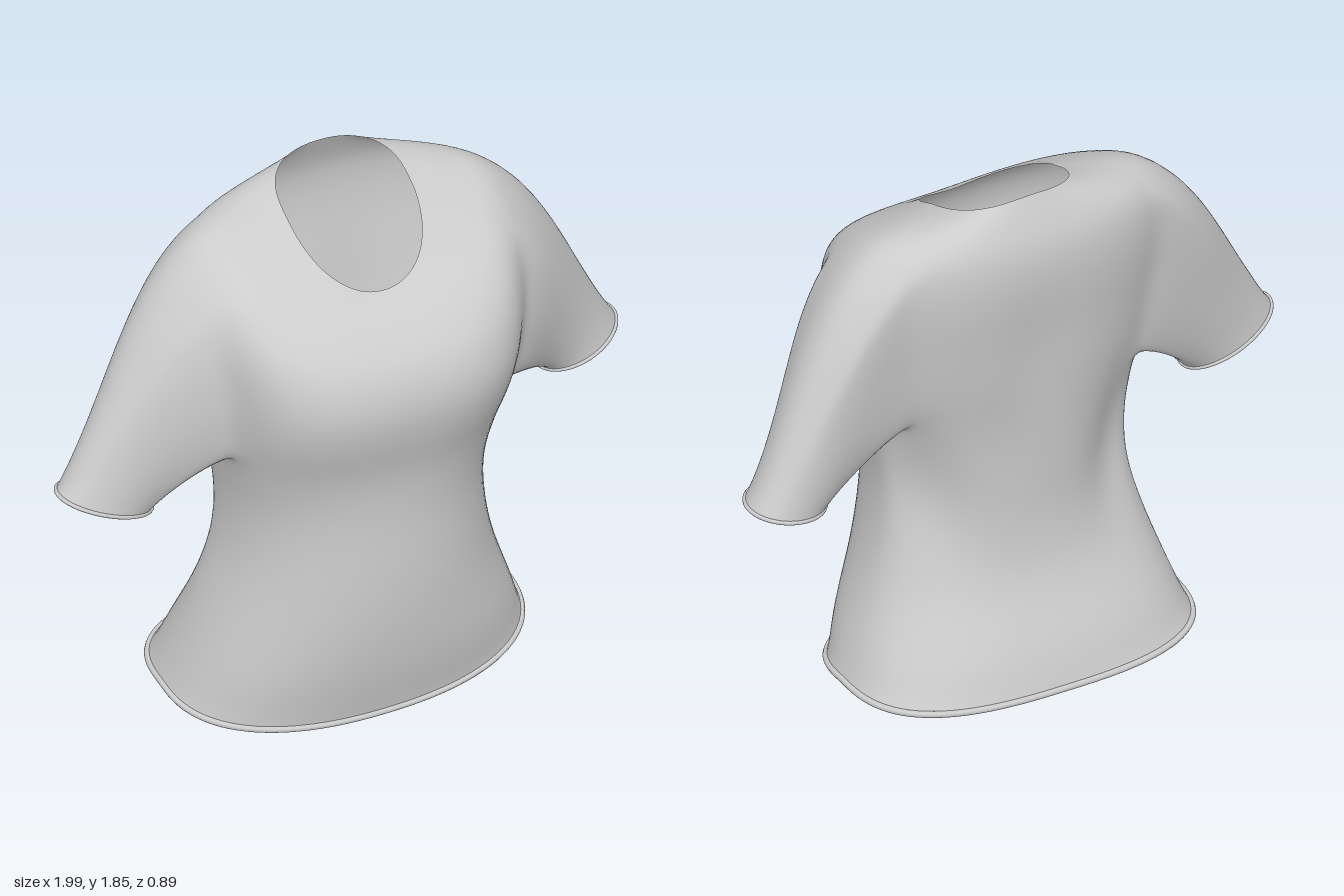
import * as THREE from 'three';

const U = 96;         // columns around the body
const STEP = 6;       // rows between two body sections
const SLEEVE_ROWS = 30;

// Body sections from hem to neckline: [right x, left x, front z, side seam z, back z,
// front y, side y, back y, front squareness, back squareness]
const SECTIONS = [
  [-0.605, 0.59, 0.30, -0.07, -0.43, 0.012, 0.07, 0.06, 2.4, 2.8],
  [-0.555, 0.55, 0.345, -0.05, -0.385, 0.2, 0.2, 0.2, 2.3, 2.6],
  [-0.49, 0.485, 0.37, -0.04, -0.29, 0.4, 0.4, 0.4, 2.2, 2.3],
  [-0.44, 0.445, 0.375, -0.04, -0.262, 0.6, 0.6, 0.6, 2.2, 2.1],
  [-0.435, 0.44, 0.37, -0.04, -0.27, 0.8, 0.8, 0.8, 2.2, 2.1],
  [-0.465, 0.48, 0.385, -0.04, -0.285, 0.98, 0.99, 1.0, 2.4, 2.1],
  [-0.48, 0.51, 0.43, -0.05, -0.30, 1.14, 1.14, 1.16, 2.8, 2.3],
  [-0.49, 0.53, 0.45, -0.06, -0.315, 1.28, 1.32, 1.33, 3.0, 2.5],
  [-0.51, 0.545, 0.415, -0.08, -0.338, 1.41, 1.54, 1.52, 2.8, 2.5],
  [-0.49, 0.525, 0.335, -0.10, -0.335, 1.5, 1.715, 1.67, 2.4, 2.4],
  [-0.37, 0.41, 0.27, -0.10, -0.30, 1.55, 1.755, 1.77, 2.2, 2.4],
  [-0.19, 0.24, 0.215, -0.06, -0.26, 1.585, 1.765, 1.85, 2.3, 2.6],
];
const ROWS = (SECTIONS.length - 1) * STEP;

// Soft creases in the back: [x, y, slant, depth, width, height]
const CREASES = [
  [0.33, 0.75, 0.2, 0.065, 0.08, 0.25],
  [-0.32, 0.75, 0.0, 0.06, 0.08, 0.25],
  [0.12, 0.92, 0.35, 0.02, 0.05, 0.2],
  [0.02, 1.25, 0.0, 0.015, 0.08, 0.3],
];

// Armholes in grid columns and rows, with the cuff each sleeve runs to
const SLEEVES = [
  { name: 'leftCuff', side: 1, c0: -11, c1: 7, r0: 32, r1: 55, hz: 0.125, drift: -0.05,
    outer: new THREE.Vector3(0.99, 0.942, -0.18), inner: new THREE.Vector3(0.7, 0.868, -0.12) },
  { name: 'rightCuff', side: -1, c0: 41, c1: 57, r0: 31, r1: 55, hz: 0.11, drift: 0.05,
    outer: new THREE.Vector3(-0.99, 0.948, -0.005), inner: new THREE.Vector3(-0.67, 0.815, -0.02) },
];

const wrap = (i) => (i + U) % U;
// Column i counted from the first column of an armhole
const fromEdge = (i, c0) => wrap(i - c0);
const insideArmhole = (i, j) => SLEEVES.some(({ c0, c1, r0, r1 }) =>
  j > r0 && j < r1 && fromEdge(i, c0) > 0 && fromEdge(i, c0) < c1 - c0);
const cutCell = (i, j) => SLEEVES.some(({ c0, c1, r0, r1 }) =>
  j >= r0 && j < r1 && fromEdge(i, c0) < c1 - c0);

const sections = new THREE.CubicInterpolant(SECTIONS.map((_, k) => k), SECTIONS.flat(), 10);

function bodyPoint(i, j) {
  const k = j / STEP;
  const [x0, x1, zf, zs, zb, yf, ys, yb, nf, nb] = sections.evaluate(k);
  const a = (i / U) * Math.PI * 2, c = Math.cos(a), s = Math.sin(a);
  const n = s >= 0 ? nf : nb;
  const r = Math.pow(Math.abs(c) ** n + Math.abs(s) ** n, -1 / n);
  const x = (x0 + x1) / 2 + ((x1 - x0) / 2) * r * c;
  let z = zs + Math.abs((s >= 0 ? zf : zb) - zs) * r * s;
  let y = s >= 0 ? ys + (yf - ys) * s ** 1.25 : ys - (yb - ys) * s;
  y += 0.03 * x * Math.max(0, 1 - k / 2);   // hem hangs slightly askew
  if (s < 0) {
    for (const [cx, cy, slant, depth, w, h] of CREASES) {
      const u = (x - cx - slant * (y - cy)) / w, v = (y - cy) / h;
      z += depth * Math.exp(-u * u - v * v) * Math.min(1, -s * 2);
    }
  }
  return new THREE.Vector3(x, y, z);
}

// Evens out the joins while keeping the open edges in place
function relax(points, faces, fixed, times) {
  const near = points.map(() => new Set());
  for (let f = 0; f < faces.length; f += 3) {
    for (let e = 0; e < 3; e++) {
      const a = faces[f + e], b = faces[f + (e + 1) % 3];
      near[a].add(b);
      near[b].add(a);
    }
  }
  for (let t = 0; t < times; t++) {
    const old = points.map((p) => p.clone());
    points.forEach((p, i) => {
      if (fixed.has(i)) return;
      const mean = new THREE.Vector3();
      near[i].forEach((q) => mean.add(old[q]));
      p.lerp(mean.divideScalar(near[i].size), 0.5);
    });
  }
}

export function createModel() {
  const group = new THREE.Group();
  group.name = 'shirt';
  const material = new THREE.MeshStandardMaterial({ color: 0xcccccc, side: THREE.DoubleSide });
  const points = [], faces = [], fixed = new Set();
  const add = (p) => points.push(p) - 1;

  // Body, with the armholes left open
  const id = [];
  for (let j = 0; j <= ROWS; j++) {
    id.push([]);
    for (let i = 0; i < U; i++) {
      id[j][i] = insideArmhole(i, j) ? -1 : add(bodyPoint(i, j));
      if (j === 0 || j === ROWS) fixed.add(id[j][i]);
    }
  }
  for (let j = 0; j < ROWS; j++) {
    for (let i = 0; i < U; i++) {
      if (cutCell(i, j)) continue;
      const n = wrap(i + 1);
      const a = id[j][i], b = id[j + 1][i], c = id[j + 1][n], d = id[j][n];
      faces.push(a, b, d, b, c, d);
    }
  }

  // Rolled edge along an open border
  const rolledEdge = (name, ids, radius) => {
    const curve = new THREE.CatmullRomCurve3(ids.map((i) => points[i].clone()), true);
    const mesh = new THREE.Mesh(new THREE.TubeGeometry(curve, 160, radius, 8, true), material);
    mesh.name = name;
    group.add(mesh);
  };

  // Sleeves, grown from the armhole border to the cuff
  for (const { name, side, c0, c1, r0, r1, hz, drift, outer, inner } of SLEEVES) {
    const loop = [];
    for (let i = c0; i < c1; i++) loop.push(id[r0][wrap(i)]);
    for (let j = r0; j < r1; j++) loop.push(id[j][wrap(c1)]);
    for (let i = c1; i > c0; i--) loop.push(id[r1][wrap(i)]);
    for (let j = r1; j > r0; j--) loop.push(id[j][wrap(c0)]);

    const box = new THREE.Box3().setFromPoints(loop.map((v) => points[v]));
    const mid = box.getCenter(new THREE.Vector3()), size = box.getSize(new THREE.Vector3());
    const centre = outer.clone().add(inner).multiplyScalar(0.5);
    const half = outer.clone().sub(inner).multiplyScalar(0.5);

    const paths = loop.map((v) => {
      const p0 = points[v];
      const phi = Math.atan2((p0.y - mid.y) / size.y, (p0.z - mid.z) / size.z);
      const up = Math.sin(phi), front = Math.cos(phi);
      const p1 = centre.clone().addScaledVector(half, up);
      p1.z += hz * front;
      const len = p0.distanceTo(p1) / 3;
      const t0 = new THREE.Vector3(side * 0.75, -0.28 - 0.25 * up, -0.25 * Math.max(0, front));
      const t1 = new THREE.Vector3(side * 0.5, -0.6 - 0.25 * up, drift);
      return new THREE.CubicBezierCurve3(p0.clone(), p0.clone().addScaledVector(t0, len),
        p1.clone().addScaledVector(t1, -len), p1);
    });

    let previous = loop;
    for (let r = 1; r <= SLEEVE_ROWS; r++) {
      const ring = paths.map((path) => add(path.getPoint(r / SLEEVE_ROWS)));
      ring.forEach((v, q) => {
        const n = (q + 1) % ring.length;
        faces.push(previous[q], v, previous[n], v, ring[n], previous[n]);
      });
      previous = ring;
    }
    previous.forEach((v) => fixed.add(v));
    rolledEdge(name, previous, 0.007);
  }

  relax(points, faces, fixed, 10);

  const geometry = new THREE.BufferGeometry().setFromPoints(points);
  geometry.setIndex(faces);
  geometry.computeVertexNormals();
  const body = new THREE.Mesh(geometry, material);
  body.name = 'bodyAndSleeves';
  group.add(body);

  rolledEdge('hem', id[0], 0.011);
  return group;
}
